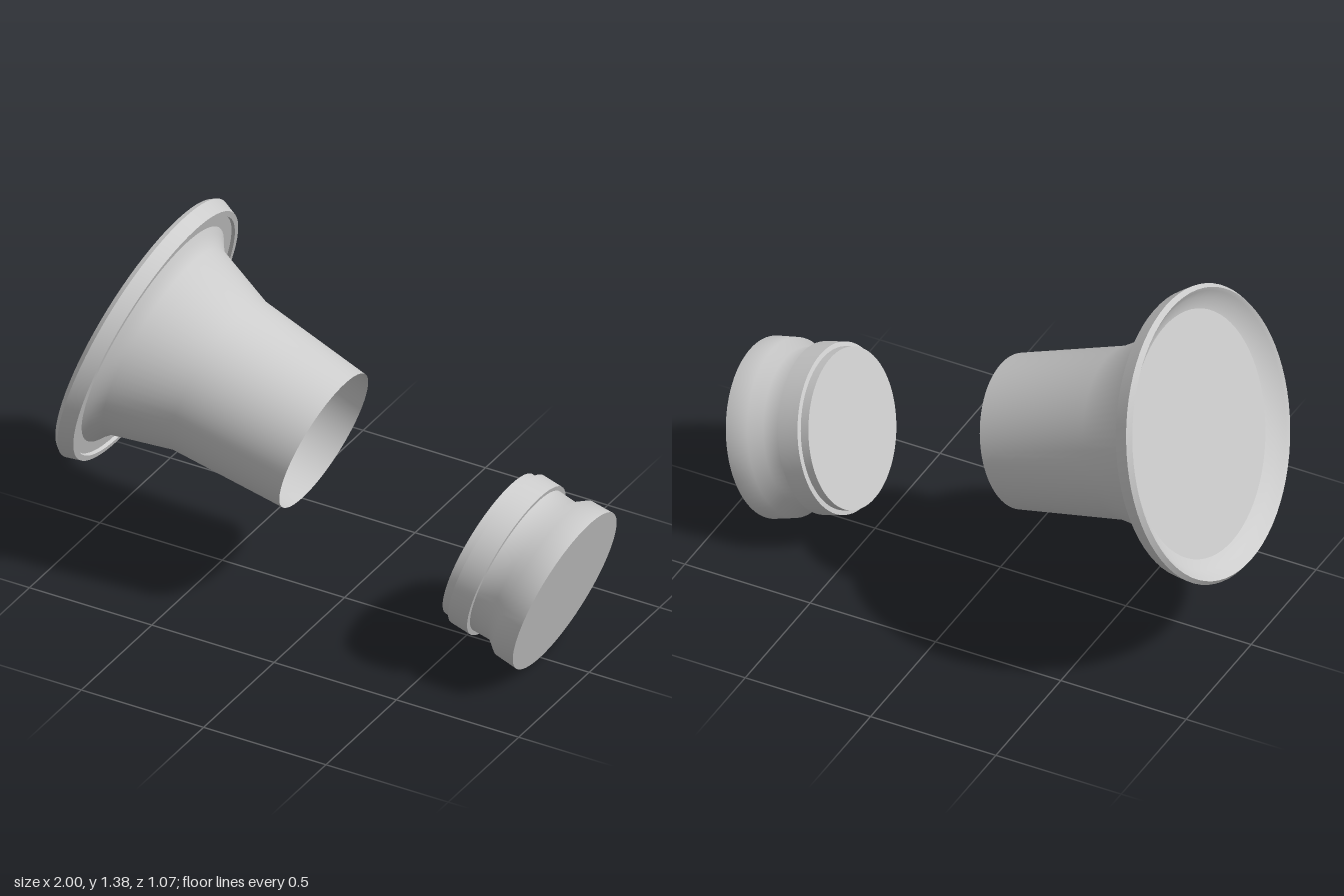
import * as THREE from 'three';
import { toCreasedNormals } from 'three/addons/utils/BufferGeometryUtils.js';

const TILT = -THREE.MathUtils.degToRad(108); // swings the lathe axis from +y to +x, sloping down

export function createModel() {
  const model = new THREE.Group();
  model.name = 'hornAndCap';
  const grey = new THREE.MeshStandardMaterial({ color: 0xcccccc, side: THREE.DoubleSide });
  grey.name = 'light grey';

  // profile: [radius, distance along axis] from back to front
  function turned(name, profile, parent) {
    const pts = profile.map(([r, s]) => new THREE.Vector2(r, s));
    const geo = toCreasedNormals(new THREE.LatheGeometry(pts, 72), 0.75);
    const mesh = new THREE.Mesh(geo, grey);
    mesh.name = name;
    parent.add(mesh);
  }

  function tiltedGroup(name, x, y) {
    const g = new THREE.Group();
    g.name = name;
    g.position.set(x, y, 0);
    g.rotation.z = TILT;
    model.add(g);
    return g;
  }

  // flared horn, open at its narrow end
  const horn = tiltedGroup('horn', -0.085, 0.63);
  turned('bell', [
    [0.445, -0.735], [0.423, -0.72], [0.386, -0.687], [0.31, -0.452], [0.278, 0],
  ], horn);
  // lip with a dished back and a shallow step in front
  turned('rim', [
    [0.445, -0.74], [0.485, -0.757], [0.51, -0.785], [0.522, -0.795], [0.535, -0.777],
    [0.516, -0.722], [0.495, -0.722], [0.493, -0.735], [0.445, -0.735],
  ], horn);
  // flat disc closing the wide end
  const disc = new THREE.Mesh(new THREE.CircleGeometry(0.445, 72), grey);
  disc.name = 'backDisc';
  disc.rotation.x = Math.PI / 2;
  disc.position.y = -0.74;
  horn.add(disc);

  // separate grooved cap on the same axis
  const cap = tiltedGroup('cap', 0.9, 0.31);
  turned('capBody', [
    [0, -0.325], [0.291, -0.325], [0.291, -0.293], [0.308, -0.29], [0.308, -0.208],
    [0.29, -0.208], [0.287, -0.133], [0.321, -0.088], [0.325, 0], [0, 0],
  ], cap);

  return model;
}
